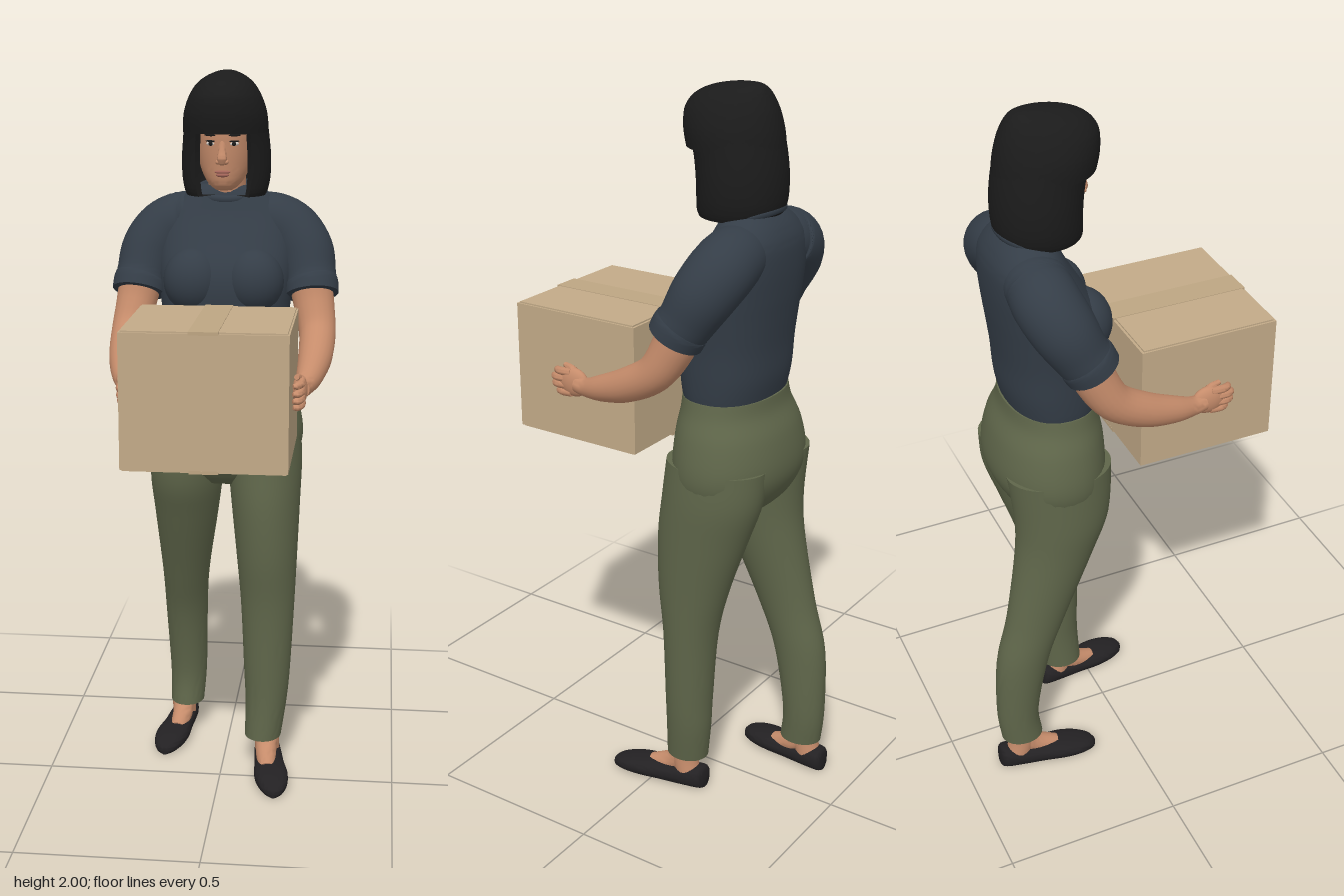
import * as THREE from 'three';
import { toCreasedNormals } from 'three/addons/utils/BufferGeometryUtils.js';

const paint = (name, color) => {
  const m = new THREE.MeshStandardMaterial({ color });
  m.name = name;
  return m;
};

// Catmull-Rom through rows of numbers, k steps per span
function smooth(rows, k) {
  const out = [], at = i => rows[Math.max(0, Math.min(rows.length - 1, i))];
  for (let i = 0; i < rows.length - 1; i++)
    for (let s = 0; s < k; s++) {
      const t = s / k;
      out.push(rows[i].map((b, c) => {
        const a = at(i - 1)[c], d = at(i + 1)[c], e = at(i + 2)[c];
        return b + 0.5 * t * (d - a + t * (2 * a - 5 * b + 4 * d - e + t * (3 * (b - d) + e - a)));
      }));
    }
  out.push(rows[rows.length - 1]);
  return out;
}

// Closed skin over rings of points, each running counter-clockwise about the direction of travel
function loft(rings) {
  const n = rings[0].length, pos = rings.flat(2), idx = [];
  for (let r = 0; r < rings.length - 1; r++)
    for (let j = 0; j < n; j++) {
      const a = r * n + j, b = r * n + (j + 1) % n;
      idx.push(a, b, b + n, a, b + n, a + n);
    }
  const last = (rings.length - 1) * n, shape = ring => {
    const mid = [0, 1, 2].map(c => ring.reduce((s, p) => s + p[c], 0) / n);
    pos.push(...mid);
    return pos.length / 3 - 1;
  };
  const c0 = shape(rings[0]), c1 = shape(rings[rings.length - 1]);
  for (let j = 0; j < n; j++) {
    const k = (j + 1) % n;
    idx.push(c0, k, j, c1, last + j, last + k);
  }
  const g = new THREE.BufferGeometry();
  g.setAttribute('position', new THREE.Float32BufferAttribute(pos, 3));
  g.setIndex(idx);
  return toCreasedNormals(g, 0.9);
}

const bend = (v, p) => Math.sign(v) * Math.abs(v) ** p;

// Upright body; rows are [y, centre x, front z, back z, half width]
function upright(rows, p = 1, n = 40) {
  return loft(smooth(rows, 5).map(([y, x, zf, zb, rx]) => Array.from({ length: n }, (_, j) => {
    const t = j / n * 2 * Math.PI;
    return [x + rx * bend(Math.sin(t), p), y, (zf + zb) / 2 + (zf - zb) / 2 * bend(Math.cos(t), p)];
  })));
}

// Tube of varying radius; rows are [x, y, z, radius]
function limb(rows, n = 20) {
  const s = smooth(rows, 5), v = r => new THREE.Vector3(r[0], r[1], r[2]);
  return loft(s.map((r, i) => {
    const t = v(s[Math.min(i + 1, s.length - 1)]).sub(v(s[Math.max(i - 1, 0)])).normalize();
    const u = new THREE.Vector3(0.9, 0.3, 0.1).cross(t).normalize(), w = t.clone().cross(u);
    return Array.from({ length: n }, (_, j) => {
      const a = j / n * 2 * Math.PI;
      return v(r).addScaledVector(u, r[3] * Math.cos(a)).addScaledVector(w, r[3] * Math.sin(a)).toArray();
    });
  }));
}

// Side and back hair, open around the face; rows as in upright
function bob(rows, open, n = 40) {
  return loft(smooth(rows, 5).map(([y, x, zf, zb, rx]) => {
    const arc = k => Array.from({ length: n + 1 }, (_, j) => {
      const t = open + j / n * 2 * (Math.PI - open);
      return [x + k * rx * Math.sin(t), y, (zf + zb) / 2 + k * (zf - zb) / 2 * Math.cos(t)];
    });
    return [...arc(1), ...arc(0.84).reverse()];
  }));
}

export function createModel() {
  const model = new THREE.Group();
  model.name = 'womanCarryingBox';
  const skin = paint('skin', 0xc68c6b), shirt = paint('slateShirt', 0x343d47), olive = paint('oliveTrousers', 0x5f664a),
    hair = paint('blackHair', 0x1b1b1b), leather = paint('blackLeather', 0x232123), card = paint('cardboard', 0xc2aa88),
    tape = paint('tape', 0xbda582), lip = paint('lips', 0xa5665a), white = paint('eyeWhite', 0xd8d0c8);
  const add = (name, geo, mat) => {
    const m = new THREE.Mesh(geo, mat);
    m.name = name;
    model.add(m);
    return m;
  };
  const ball = (name, mat, x, y, z, rx, ry, rz) => {
    const m = add(name, new THREE.SphereGeometry(1, 24, 16), mat);
    m.position.set(x, y, z);
    m.scale.set(rx, ry, rz);
    return m;
  };
  const block = (name, mat, w, h, d, x, y, z) => add(name, new THREE.BoxGeometry(w, h, d), mat).position.set(x, y, z);

  // Carton with top and bottom flaps and tape
  block('carton', card, 0.426, 0.352, 0.385, 0, 1.21, 0.2075);
  for (const [side, y] of [['top', 1.387], ['bottom', 1.033]]) {
    for (const s of [-1, 1]) block(side + 'Flap', card, 0.207, 0.006, 0.372, s * 0.1045, y, 0.2075);
    block(side + 'Tape', tape, 0.075, 0.009, 0.386, 0, y, 0.2075);
  }

  // Trousers: hips, then the forward left leg and trailing right leg
  add('hips', upright([[0.86, 0, -0.09, -0.24, 0.12], [0.9, 0, -0.05, -0.29, 0.185], [0.96, 0, -0.028, -0.325, 0.214],
    [1.02, 0, -0.025, -0.333, 0.219], [1.1, 0, -0.03, -0.318, 0.203], [1.16, 0, -0.04, -0.292, 0.18],
    [1.2, 0, -0.043, -0.285, 0.17]], 0.92), olive);
  add('leftLeg', upright([[0.095, 0.118, -0.03, -0.152, 0.053], [0.2, 0.126, -0.035, -0.165, 0.06], [0.3, 0.128, -0.035, -0.17, 0.067],
    [0.5, 0.128, -0.03, -0.185, 0.077], [0.65, 0.124, -0.012, -0.22, 0.087], [0.8, 0.118, -0.008, -0.27, 0.098],
    [0.92, 0.113, -0.02, -0.31, 0.106], [1.02, 0.107, -0.03, -0.32, 0.106]]), olive);
  add('rightLeg', upright([[0.095, -0.133, -0.26, -0.382, 0.05], [0.2, -0.13, -0.268, -0.392, 0.055], [0.39, -0.132, -0.232, -0.385, 0.062],
    [0.54, -0.128, -0.175, -0.348, 0.069], [0.75, -0.117, -0.085, -0.31, 0.092], [0.87, -0.113, -0.04, -0.305, 0.104],
    [1.02, -0.107, -0.03, -0.322, 0.106]]), olive);

  // Flat shoes and bare ankles
  for (const [side, s, dz, heel, toe] of [['left', 1, 0, 0.125, 0.165], ['right', -1, -0.24, 0.14, 0.178]]) {
    const rows = [[-0.156, 0.016, 0.045], [-0.145, 0.034, 0.064], [-0.09, 0.04, 0.058], [-0.03, 0.043, 0.052],
      [0.03, 0.049, 0.05], [0.08, 0.044, 0.043], [0.118, 0.028, 0.032], [0.132, 0.008, 0.02]];
    add(side + 'Shoe', loft(smooth(rows, 4).map(([z, rx, h]) => {
      const cx = s * (heel + (toe - heel) * (z + 0.156) / 0.288);
      return Array.from({ length: 28 }, (_, j) => {
        const a = j / 28 * 2 * Math.PI;
        return [cx + rx * bend(Math.cos(a), 0.8), h / 2 * (1 + bend(Math.sin(a), 0.7)), z + dz];
      });
    })), leather);
    const x = s * (heel + 0.006);
    add(side + 'Ankle', limb([[x, 0.16, -0.09 + dz, 0.036], [x, 0.09, -0.09 + dz, 0.036], [x, 0.04, -0.1 + dz, 0.036]]), skin);
    add(side + 'Instep', limb([[x, 0.09, -0.085 + dz, 0.032], [x, 0.056, -0.05 + dz, 0.03], [x + s * 0.008, 0.032, 0.015 + dz, 0.024]]), skin);
  }

  // Shirt body, chest and collar
  add('shirtBody', upright([[1.17, 0, -0.055, -0.272, 0.158], [1.2, 0, -0.046, -0.28, 0.166], [1.26, 0, -0.038, -0.292, 0.172],
    [1.34, 0, -0.036, -0.297, 0.177], [1.42, 0, -0.032, -0.306, 0.186], [1.48, 0, -0.045, -0.313, 0.19], [1.55, 0, -0.085, -0.318, 0.188],
    [1.61, 0, -0.12, -0.316, 0.172], [1.65, 0, -0.138, -0.302, 0.138], [1.68, 0, -0.15, -0.28, 0.1], [1.692, 0, -0.16, -0.265, 0.08]], 0.88), shirt);
  const collar = add('collar', new THREE.TorusGeometry(0.084, 0.013, 10, 40), shirt);
  collar.position.set(0, 1.675, -0.212);
  collar.rotation.x = Math.PI / 2 + 0.3;
  collar.scale.y = 0.82;

  // Arms, mirrored
  for (const [side, s] of [['left', 1], ['right', -1]]) {
    const flip = rows => rows.map(([x, ...rest]) => [s * x, ...rest]);
    ball(side + 'Chest', shirt, s * 0.083, 1.44, -0.095, 0.083, 0.09, 0.078);
    add(side + 'Sleeve', limb(flip([[0.08, 1.59, -0.225, 0.078], [0.125, 1.585, -0.225, 0.084], [0.175, 1.56, -0.22, 0.086],
      [0.214, 1.51, -0.197, 0.083], [0.232, 1.45, -0.165, 0.074], [0.238, 1.425, -0.148, 0.072]]), 28), shirt);
    add(side + 'Cuff', limb(flip([[0.2365, 1.432, -0.152, 0.073], [0.238, 1.425, -0.148, 0.075], [0.241, 1.4, -0.135, 0.074]]), 28), shirt);
    add(side + 'Arm', limb(flip([[0.237, 1.43, -0.15, 0.06], [0.248, 1.37, -0.13, 0.056], [0.26, 1.3, -0.085, 0.05],
      [0.258, 1.25, 0, 0.046], [0.248, 1.218, 0.09, 0.036], [0.236, 1.203, 0.15, 0.026], [0.23, 1.204, 0.185, 0.024]])), skin);
    ball(side + 'Palm', skin, s * 0.229, 1.206, 0.2, 0.02, 0.04, 0.047);
    for (let i = 0; i < 4; i++) {
      const y = 1.233 - i * 0.019, reach = [0.258, 0.268, 0.266, 0.252][i];
      add(side + 'Finger', limb(flip([[0.234, y, 0.205, 0.011], [0.234, y - 0.002, reach - 0.02, 0.011],
        [0.225, y - 0.004, reach, 0.01], [0.215, y - 0.004, reach + 0.006, 0.006]]), 10), skin);
    }
    add(side + 'Thumb', limb(flip([[0.232, 1.215, 0.175, 0.012], [0.226, 1.238, 0.205, 0.011], [0.222, 1.247, 0.235, 0.007]]), 10), skin);

    // Eyes and brows
    ball(side + 'EyeWhite', white, s * 0.031, 1.812, -0.0655, 0.0135, 0.006, 0.006).rotation.y = s * 0.3;
    ball(side + 'Iris', hair, s * 0.031, 1.812, -0.061, 0.006, 0.006, 0.004);
    ball(side + 'Lashes', hair, s * 0.031, 1.8185, -0.064, 0.015, 0.0025, 0.006).rotation.y = s * 0.3;
    ball(side + 'Brow', hair, s * 0.032, 1.834, -0.063, 0.018, 0.003, 0.005).rotation.y = s * 0.3;
    ball(side + 'Nostril', skin, s * 0.01, 1.764, -0.056, 0.008, 0.007, 0.009);
  }

  // Neck and head
  add('neck', limb([[0, 1.6, -0.215, 0.062], [0, 1.68, -0.2, 0.053], [0, 1.78, -0.175, 0.053]]), skin);
  add('head', upright([[1.686, 0, -0.088, -0.14, 0.022], [1.695, 0, -0.075, -0.165, 0.036], [1.715, 0, -0.066, -0.2, 0.053], [1.75, 0, -0.061, -0.24, 0.069],
    [1.8, 0, -0.056, -0.26, 0.078], [1.86, 0, -0.055, -0.262, 0.08], [1.93, 0, -0.08, -0.25, 0.065]]), skin);
  add('nose', limb([[0, 1.82, -0.064, 0.009], [0, 1.79, -0.057, 0.011], [0, 1.77, -0.053, 0.013], [0, 1.758, -0.057, 0.007]]), skin);
  ball('upperLip', lip, 0, 1.737, -0.064, 0.022, 0.005, 0.006);
  ball('lowerLip', lip, 0, 1.729, -0.065, 0.018, 0.006, 0.007);

  // Bobbed hair: crown with fringe, then sides and back
  add('hairCrown', upright([[1.838, 0, -0.025, -0.285, 0.116], [1.87, 0, -0.017, -0.282, 0.115], [1.9, 0, -0.014, -0.277, 0.11],
    [1.935, 0, -0.018, -0.268, 0.097], [1.965, 0, -0.043, -0.255, 0.078], [1.985, 0, -0.085, -0.243, 0.053], [1.997, 0, -0.14, -0.228, 0.025],
    [2, 0, -0.175, -0.21, 0.008]]), hair);
  add('hairBob', bob([[1.668, 0, -0.065, -0.272, 0.108], [1.685, 0, -0.06, -0.284, 0.115], [1.72, 0, -0.06, -0.291, 0.121],
    [1.77, 0, -0.058, -0.292, 0.122], [1.82, 0, -0.05, -0.288, 0.118], [1.87, 0, -0.035, -0.28, 0.113]], 0.68), hair);

  return model;
}
